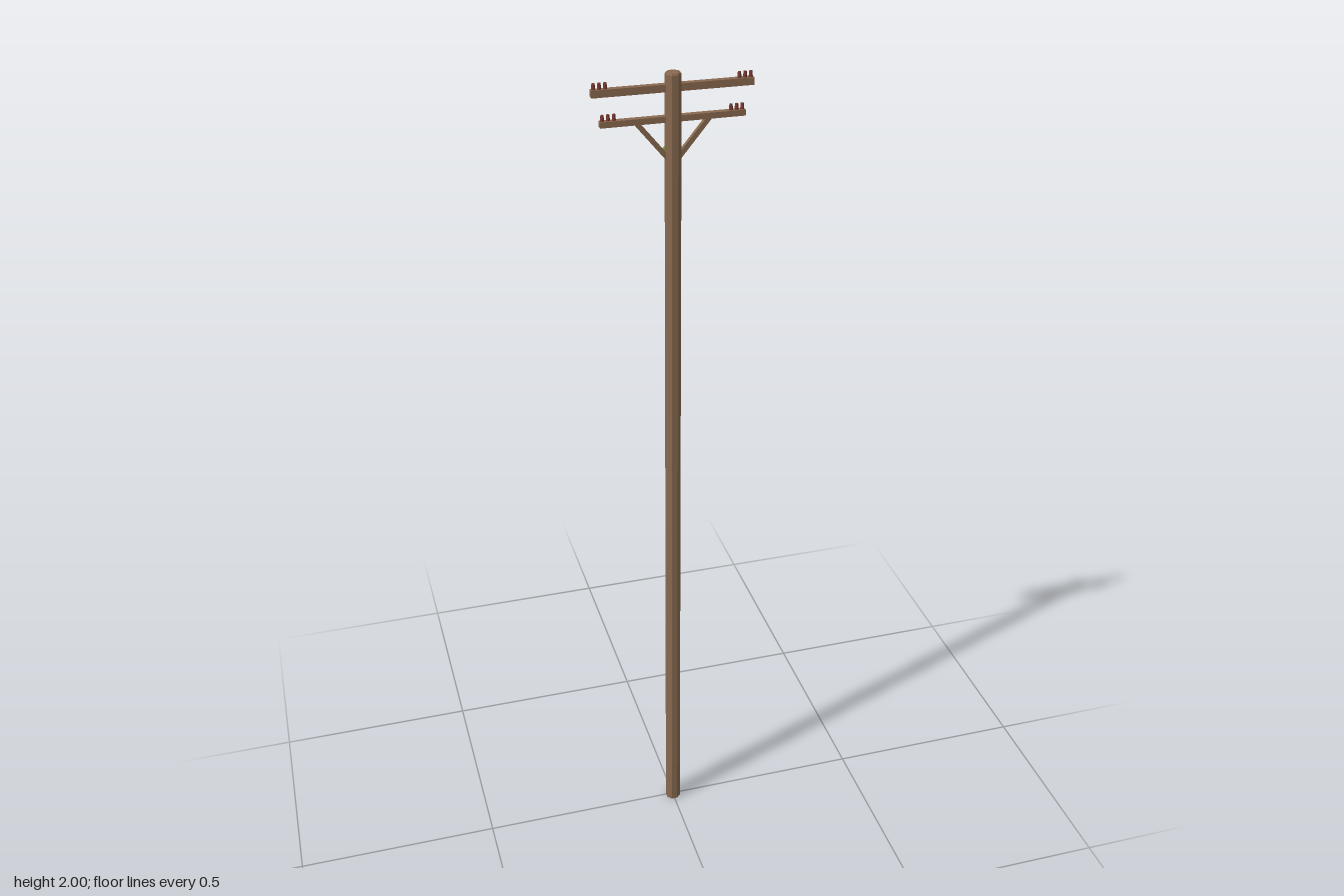
import * as THREE from 'three';

const mat = (color) => new THREE.MeshStandardMaterial({ color, flatShading: true });

export function createModel() {
  const group = new THREE.Group();
  const wood = mat(0x8a6a50);
  const ceramic = mat(0x7a3a30);
  const green = mat(0x5fa032);
  const axisZ = 0.004;

  const add = (parent, name, geometry, material, x, y, z) => {
    const mesh = new THREE.Mesh(geometry, material);
    mesh.name = name;
    mesh.position.set(x, y, z);
    parent.add(mesh);
    return mesh;
  };

  // Eight-sided pole, slightly tapered, with a small chamfer at the top
  const profile = [[0, 0], [0.0192, 0], [0.0178, 1.996], [0.0155, 2], [0, 2]]
    .map(([r, y]) => new THREE.Vector2(r, y));
  add(group, 'pole', new THREE.LatheGeometry(profile, 8, Math.PI / 8), wood, 0, 0, axisZ);

  // Crossarms, each with three insulators at both ends
  const crossarm = (name, y, halfLength, height, turn) => {
    const arm = new THREE.Group();
    arm.name = name;
    arm.position.set(0, y, axisZ - 0.001);
    arm.rotation.y = turn;
    add(arm, name + 'Beam', new THREE.BoxGeometry(halfLength * 2, height, 0.014), wood, 0, 0, 0);
    for (const side of [-1, 1]) {
      for (let i = 0; i < 3; i++) {
        const x = side * (halfLength - 0.006 - i * 0.0125);
        const base = height / 2;
        add(arm, 'insulator', new THREE.CylinderGeometry(0.0035, 0.0045, 0.013, 6), ceramic, x, base + 0.0065, 0);
      }
    }
    group.add(arm);
  };
  crossarm('upperCrossarm', 1.968, 0.175, 0.016, -0.006);
  crossarm('lowerCrossarm', 1.902, 0.158, 0.013, -0.004);

  // Diagonal braces from the pole up to the lower crossarm
  for (const side of [-1, 1]) {
    const from = new THREE.Vector2(side * 0.008, 1.812);
    const to = new THREE.Vector2(side * 0.081, 1.9);
    const d = to.clone().sub(from);
    const brace = add(group, side > 0 ? 'leftBrace' : 'rightBrace',
      new THREE.BoxGeometry(0.011, d.length(), 0.010), wood,
      (from.x + to.x) / 2, (from.y + to.y) / 2, axisZ - 0.001);
    brace.rotation.z = -Math.atan2(d.x, d.y);
  }

  // Eight-sided fitting on the back of the pole
  const disc = new THREE.CylinderGeometry(0.0172, 0.0172, 0.012, 8);
  disc.rotateY(Math.PI / 8).rotateX(Math.PI / 2);
  add(group, 'backFitting', disc, green, 0, 1.822, -0.019);

  return group;
}
